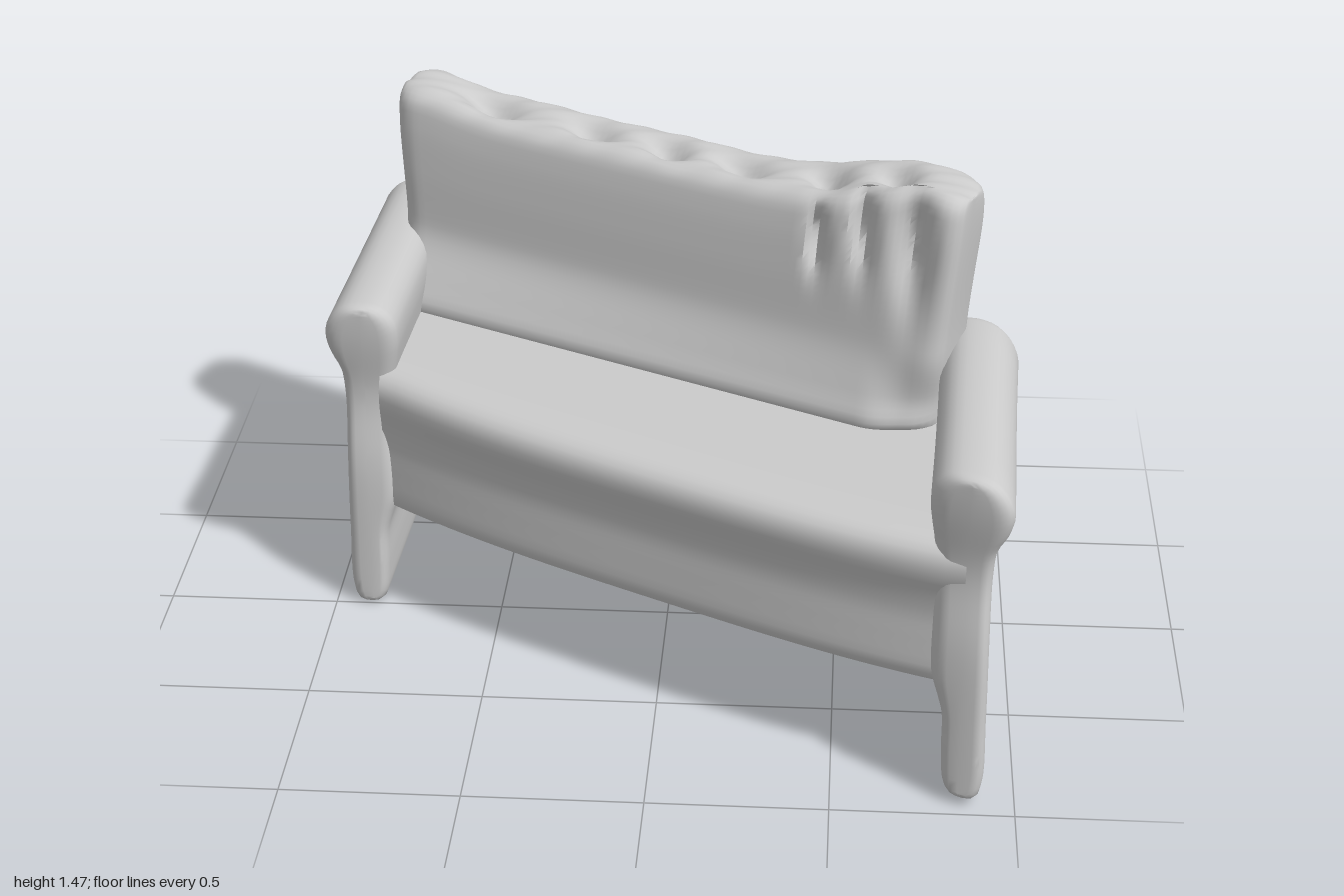
import * as THREE from 'three';
import { toCreasedNormals } from 'three/addons/utils/BufferGeometryUtils.js';

const SLANT = 0.54; // how far the sofa runs forward per unit of width
const material = new THREE.MeshStandardMaterial({ color: 0xcccccc, side: THREE.DoubleSide });
const bump = (v, centre, width) => Math.exp(-(((v - centre) / width) ** 2));
const { smoothstep } = THREE.MathUtils;

// Loft a closed (w, y) section along t.
// stations: [t, w scale, y scale] about the section centre; place: gives each point's final spot.
function loft(section, count, stations, place) {
  const curve = new THREE.CatmullRomCurve3(
    section.map(([w, y]) => new THREE.Vector3(w, y, 0)), true, 'centripetal');
  const ring = curve.getSpacedPoints(count).slice(0, count);
  const mid = ring.reduce((s, p) => s.add(p), new THREE.Vector3()).divideScalar(count);
  const positions = [], index = [];
  stations.forEach(([t, sw, sy], i) => {
    ring.forEach((p, j) => {
      positions.push(...place(t, mid.x + (p.x - mid.x) * sw, mid.y + (p.y - mid.y) * sy));
      if (i < stations.length - 1) {
        const k = (j + 1) % count, a = i * count, b = a + count;
        index.push(a + j, b + j, b + k, a + j, b + k, a + k);
      }
    });
  });
  const geometry = new THREE.BufferGeometry();
  geometry.setAttribute('position', new THREE.Float32BufferAttribute(positions, 3));
  geometry.setIndex(index);
  return toCreasedNormals(geometry, 0.9);
}

// Even stations between two ends, each rounded by a quarter ellipse and closed on an upright seam
function roundedStations(t0, t1, radius, steps, minW, minY) {
  const end = [[0, 0, minY]];
  for (let i = 0; i <= 5; i++) {
    const a = i / 5 * Math.PI / 2, s = Math.sin(a);
    end.push([radius * (1 - Math.cos(a)), minW + (1 - minW) * s, minY + (1 - minY) * s]);
  }
  const list = end.map(([d, ...s]) => [t0 + d, ...s]);
  for (let i = 1; i < steps; i++) {
    list.push([t0 + radius + (t1 - t0 - 2 * radius) * i / steps, 1, 1]);
  }
  return list.concat(end.reverse().map(([d, ...s]) => [t1 - d, ...s]));
}

// Seat, front apron and lower back in one slanted body
function makeBody() {
  const section = [
    [0.46, 0.326], [0.482, 0.328], [0.495, 0.345], [0.498, 0.45], [0.498, 0.53], [0.515, 0.61],
    [0.538, 0.67], [0.535, 0.73], [0.49, 0.762], [0.42, 0.77], [0.1, 0.77], [-0.3, 0.78],
    [-0.37, 0.9], [-0.43, 1.0], [-0.48, 0.985], [-0.535, 0.945], [-0.56, 0.89], [-0.55, 0.82],
    [-0.522, 0.76], [-0.505, 0.65], [-0.5, 0.345], [-0.49, 0.328], [-0.47, 0.326],
  ];
  const stations = [[-0.84, 0, 0]];
  for (let i = 0; i <= 32; i++) stations.push([-0.84 + 1.68 * i / 32, 1, 1]);
  stations.push([0.84, 0, 0]);
  return loft(section, 130, stations, (x, w, y) => {
    const e = x / 0.84;
    const pull = w > 0 ? 1 - 0.13 * Math.abs(e) ** 3 : 1 - 0.06 * Math.max(e, 0) ** 12;
    const limit = -0.935 - 0.03 * smoothstep(y, 0.74, 0.86); // stay within the right arm
    return [x, y, Math.max(w * pull + SLANT * x, limit)];
  });
}

// Back cushion with a worn, pitted top and gouges at one end
function makeCushion() {
  const section = [
    [-0.1, 0.76], [-0.115, 0.85], [-0.14, 1.0], [-0.155, 1.15], [-0.175, 1.28], [-0.195, 1.34],
    [-0.24, 1.365], [-0.32, 1.365], [-0.42, 1.365], [-0.47, 1.345], [-0.495, 1.28],
    [-0.48, 1.12], [-0.465, 0.98], [-0.46, 0.76],
  ];
  const pits = [[-0.56, 0.08], [-0.25, 0.07], [-0.02, 0.06], [0.2, 0.07], [0.45, 0.05], [0.64, 0.05]];
  const gouges = [[0.42, 1.24, 0.02, 0.08], [0.55, 1.27, 0.025, 0.1], [0.69, 1.22, 0.045, 0.14]];
  const stations = roundedStations(-0.835, 0.845, 0.07, 80, 0.55, 0.97);
  return loft(section, 90, stations, (t, w, y) => {
    const upper = smoothstep(y, 0.95, 1.34);
    const rim = smoothstep(y, 1.33, 1.36);
    // Ends are cut askew and lean outward at the top
    const x = t * (0.965 + 0.035 * upper) - 0.3 * (w + 0.3);
    let h = y + upper * (0.035 * bump(x, -0.8, 0.16) + 0.095 * bump(x, 0.74, 0.25));
    h += rim * 0.004 * Math.sin(31 * x + 40 * w) * Math.sin(53 * w + 17 * x);
    for (const [px, size] of pits) h -= rim * bump(w, -0.33, 0.06) * 0.06 * bump(x, px, size);
    let depth = w;
    if (w > -0.24) {
      // The foot spreads onto the seat, then curls under at the left end
      const foot = 1 - smoothstep(y, 0.78, 1.0);
      depth += foot * (0.05 - 0.04 * x - 0.08 * smoothstep(x, 0.55, 0.75));
      for (const [gx, gy, gw, gh] of gouges) depth -= 0.07 * bump(x, gx, gw) * bump(y, gy, gh);
    }
    return [x, h, depth + SLANT * x];
  });
}

// Slab arm with a rolled top; side is +1 for the left arm, -1 for the right.
// skew slants the two ends so they meet the body.
function makeArm(side, skew) {
  const outline = [ // from the inner foot, over the roll, to the outer foot
    [-0.025, 0.004], [-0.042, 0.03], [-0.05, 0.12], [-0.053, 0.24], [-0.068, 0.3], [-0.085, 0.36],
    [-0.085, 0.6], [-0.09, 0.74], [-0.1, 0.81], [-0.106, 0.87], [-0.098, 0.93], [-0.06, 0.972],
    [0, 0.982], [0.055, 0.97], [0.095, 0.93], [0.111, 0.88], [0.1, 0.82], [0.073, 0.76],
    [0.064, 0.68], [0.062, 0.5], [0.064, 0.25], [0.062, 0.05], [0.045, 0.004],
  ];
  const section = outline.map(([u, y]) => [-u * side, y]);
  if (side < 0) section.reverse();
  const stations = roundedStations(-0.495, 0.495, 0.045, 8, 0.5, 0.96);
  return loft(section, 100, stations, (t, w, y) => {
    const back = smoothstep(-t, 0.1, 0.49), front = smoothstep(t, 0.1, 0.49);
    // The roll overhangs both ends a little; the back is also set in below it
    const z = t + back * 0.035 * (1 - smoothstep(y, 0.72, 0.84))
      - front * 0.035 * bump(y, 0.68, 0.16) - skew * w * (back + front);
    return [-w - 0.045 * t, y, z];
  });
}

export function createModel() {
  const group = new THREE.Group();
  group.name = 'slantedSofa';
  const add = (name, geometry) => {
    const mesh = new THREE.Mesh(geometry, material);
    mesh.name = name;
    group.add(mesh);
    return mesh;
  };
  add('seatBody', makeBody());
  add('backCushion', makeCushion());
  add('leftArm', makeArm(1, 0.4)).position.set(0.868, 0.015, 0.463);
  add('rightArm', makeArm(-1, 0.1)).position.set(-0.868, 0, -0.487);
  return group;
}
